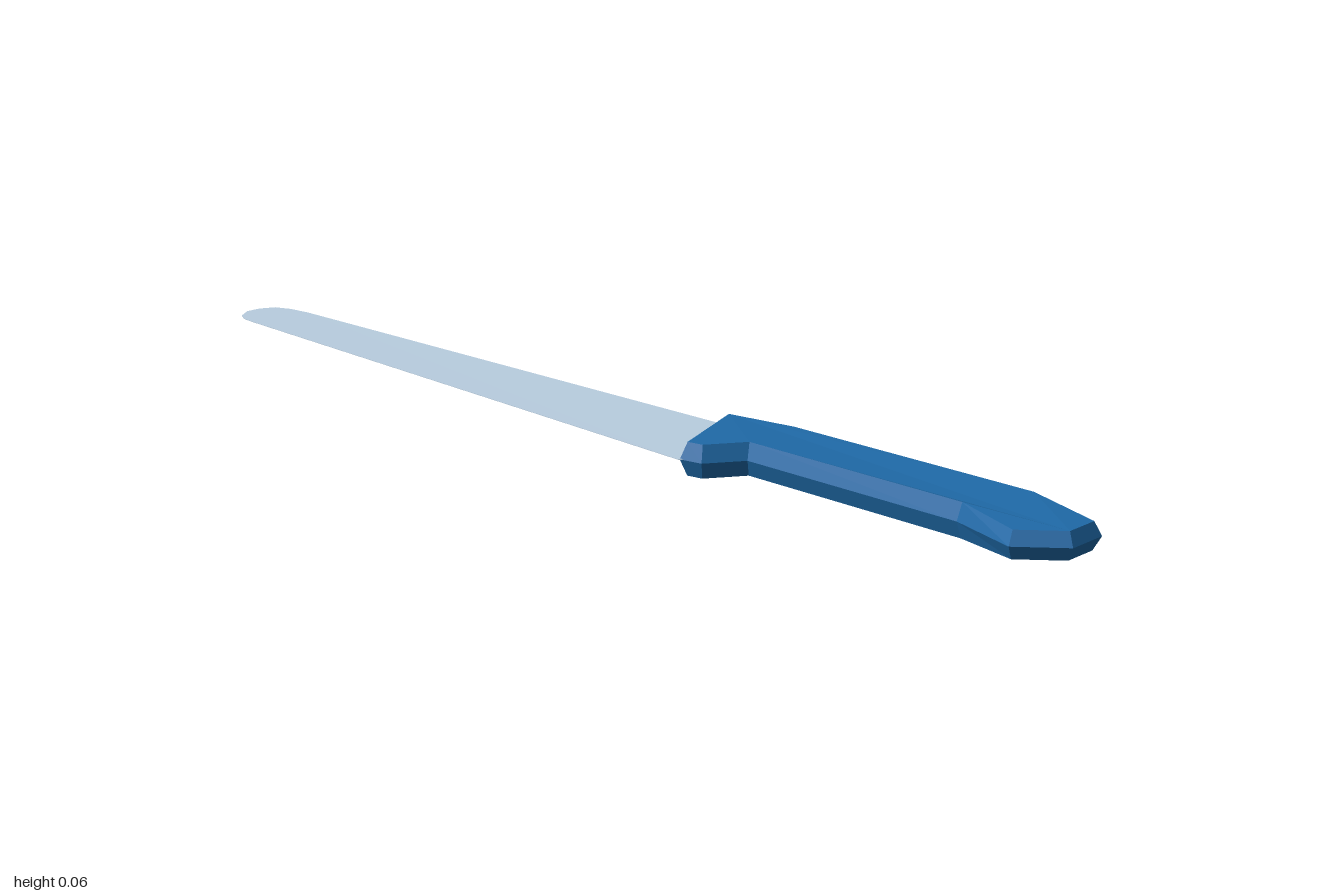
import * as THREE from 'three';

const MID = 0.03;

// Closed solid from stacked rings (bottom to top); each ring is a list of [x, y, z], clockwise seen from above.
function loftSolid(name, rings, color) {
  const pos = [];
  const tri = (a, b, c) => pos.push(...a, ...b, ...c);
  for (let k = 0; k < rings.length - 1; k++) {
    const lo = rings[k], hi = rings[k + 1];
    for (let i = 0; i < lo.length; i++) {
      const j = (i + 1) % lo.length;
      tri(lo[i], hi[i], hi[j]);
      tri(lo[i], hi[j], lo[j]);
    }
  }
  const cap = (ring, up) => {
    const flat = ring.map(([x, , z]) => new THREE.Vector2(x, z));
    for (const [a, b, c] of THREE.ShapeUtils.triangulateShape(flat, [])) {
      const ab = flat[b].clone().sub(flat[a]), ac = flat[c].clone().sub(flat[a]);
      const facesUp = ab.y * ac.x - ab.x * ac.y > 0;
      if (facesUp === up) tri(ring[a], ring[b], ring[c]);
      else tri(ring[a], ring[c], ring[b]);
    }
  };
  cap(rings[0], false);
  cap(rings[rings.length - 1], true);
  const geo = new THREE.BufferGeometry();
  geo.setAttribute('position', new THREE.Float32BufferAttribute(pos, 3));
  geo.computeVertexNormals();
  const mesh = new THREE.Mesh(geo, new THREE.MeshStandardMaterial({ color, flatShading: true }));
  mesh.name = name;
  return mesh;
}

// Shrink a clockwise-from-above [x, z] outline by d, with mitred corners.
function inset(points, d) {
  const n = points.length;
  const inward = (p, q) => {
    const dx = q[0] - p[0], dz = q[1] - p[1], l = Math.hypot(dx, dz);
    return [-dz / l, dx / l];
  };
  return points.map((p, i) => {
    const a = inward(points[(i + n - 1) % n], p), b = inward(p, points[(i + 1) % n]);
    const s = d / (1 + a[0] * b[0] + a[1] * b[1]);
    return [p[0] + (a[0] + b[0]) * s, p[1] + (a[1] + b[1]) * s];
  });
}

export function createModel() {
  const group = new THREE.Group();
  group.name = 'breadKnife';

  // Handle: widest at mid height, bevelled to the flat faces, thinner at the butt
  const outline = [
    [0.083, 0.24], [0.107, 0.38], [0.107, 0.86], [0.07, 1.0], [-0.005, 1.0],
    [-0.066, 0.93], [-0.03, 0.81], [-0.03, 0.39], [-0.095, 0.348], [-0.103, 0.307],
  ];
  const narrow = inset(outline, 0.01);
  const face = (side) => narrow.map(([x, z], i) =>
    [x, MID + side * (outline[i][1] > 0.9 ? 0.023 : 0.029), z]);
  const middle = outline.map(([x, z]) => [x, MID, z]);
  group.add(loftSolid('handle', [face(-1), middle, face(1)], 0x1f6aa8));

  // Blade: thin wedge, thick along the spine (+x), fine along the cutting edge (-x)
  const blade = [
    [0.048, -0.985], [0.062, -0.95], [0.068, -0.9], [0.083, 0.24], [0.07, 0.28],
    [-0.085, 0.325], [-0.108, 0.309], [-0.056, -0.92], [-0.053, -0.955],
    [-0.04, -0.98], [-0.012, -1.0], [0.018, -1.0],
  ];
  const sheet = (side) => blade.map(([x, z]) => {
    const acrossBlade = THREE.MathUtils.clamp((x + 0.1) / 0.18, 0.1, 1);
    const towardTip = THREE.MathUtils.mapLinear(z, -1, 0.3, 0.4, 1);
    return [x, MID + 0.001 + side * 0.004 * acrossBlade * towardTip, z];
  });
  group.add(loftSolid('blade', [sheet(-1), sheet(1)], 0xb8cddf));

  return group;
}
